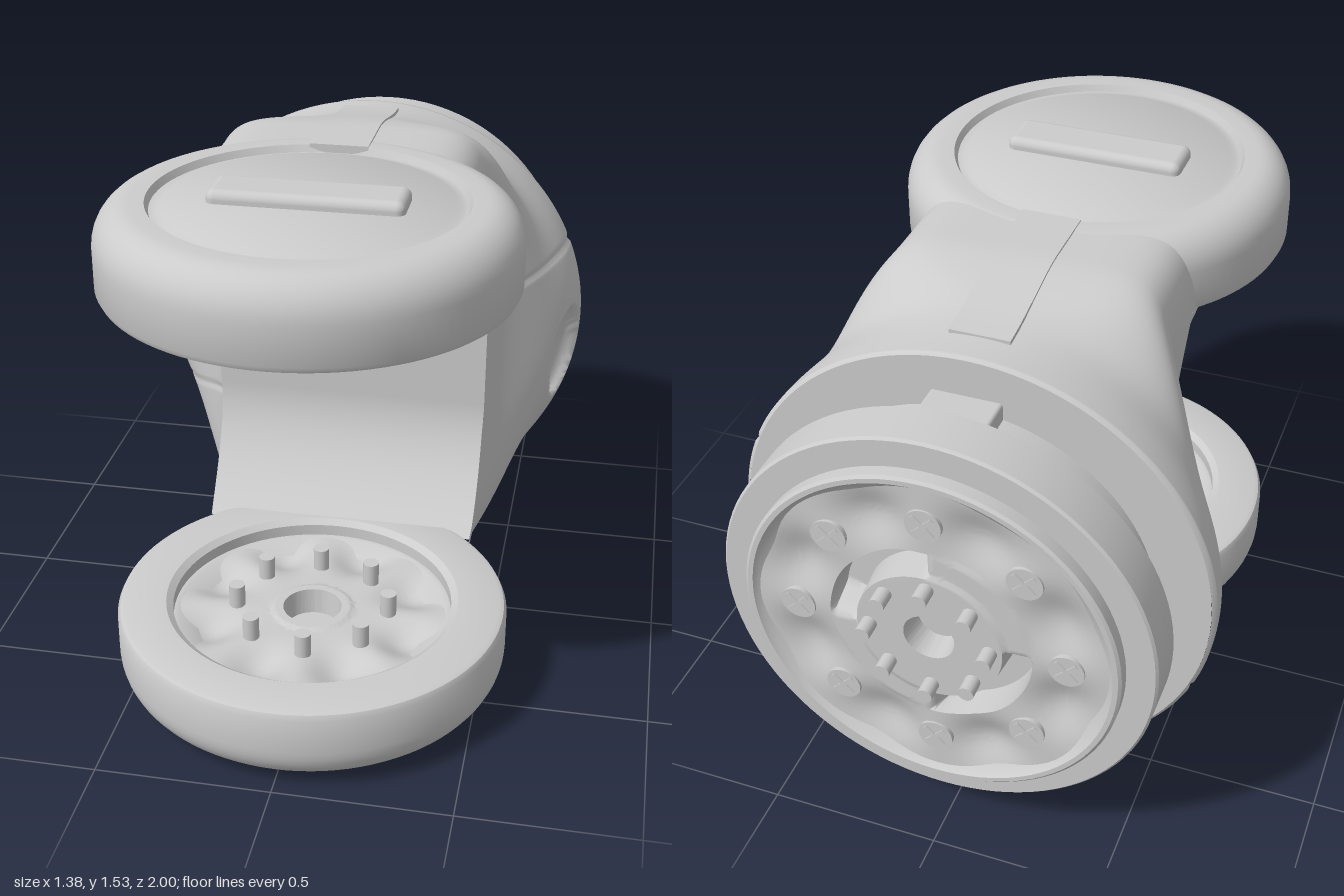
import * as THREE from 'three';
import { toCreasedNormals } from 'three/addons/utils/BufferGeometryUtils.js';
import { RoundedBoxGeometry } from 'three/addons/geometries/RoundedBoxGeometry.js';

const MID = 0.772; // height of the main axis
const PAD_Z = 0.428; // depth of the pad centres
const grey = new THREE.MeshStandardMaterial({ color: 0xcccccc });
const thin = new THREE.MeshStandardMaterial({ color: 0xcccccc, side: THREE.DoubleSide });

function add(parent, name, geometry, x = 0, y = 0, z = 0, material = grey) {
  const mesh = new THREE.Mesh(geometry, material);
  mesh.name = name;
  mesh.position.set(x, y, z);
  parent.add(mesh);
  return mesh;
}

const lathe = (points) => toCreasedNormals(
  new THREE.LatheGeometry(points.map(([r, y]) => new THREE.Vector2(r, y)), 96), 0.6);

// Indexed grid surface from a function (i, j) -> [x, y, z]
function grid(nu, nv, point) {
  const pos = [], index = [];
  for (let j = 0; j <= nv; j++) for (let i = 0; i <= nu; i++) pos.push(...point(i, j));
  for (let j = 0; j < nv; j++) for (let i = 0; i < nu; i++) {
    const a = j * (nu + 1) + i, b = a + nu + 1;
    index.push(a, a + 1, b, a + 1, b + 1, b);
  }
  const g = new THREE.BufferGeometry();
  g.setAttribute('position', new THREE.Float32BufferAttribute(pos, 3));
  g.setIndex(index);
  g.computeVertexNormals();
  return g;
}

// Yoke cross-section: a circle at the back turning into a tall rounded box in front
const blend = (z) => {
  const u = THREE.MathUtils.clamp((z + 0.63) / 0.45, 0, 1);
  return THREE.MathUtils.smoothstep(Math.pow(u, 1.3), 0, 1);
};
const halfWidth = (z) => 0.692 - 0.269 * blend(z);
const halfHeight = (z) => 0.685 + 0.055 * blend(z);
function section(a, z) {
  const n = 2 + 5 * blend(z) ** 2.5;
  const c = Math.cos(a), d = Math.sin(a);
  const r = (Math.abs(c / halfWidth(z)) ** n + Math.abs(d / halfHeight(z)) ** n) ** (-1 / n);
  return [r * c, r * d];
}
// Depth of the concave front, by distance from the axis
const frontZ = (y) => Math.min(0.02, -0.2 + 0.2 * (Math.max(0, Math.abs(y) - 0.15) / 0.36) ** 2);
// The arms run on into the pads and end on a circle inside the pad shell
const armEnd = (x, y) => Math.abs(y) > 0.505 ? PAD_Z - Math.sqrt(0.46 ** 2 - x * x) : frontZ(y);

function yokeSkin(i, j) {
  const a = (i / 384) * Math.PI * 2;
  const zf = armEnd(...section(a, 0));
  // rows 1-51 cover the flare, the rest the arms
  let z = -0.63 + 0.43 * Math.min(1, (j - 1) / 50);
  if (j === 0) z = -0.64;
  if (j > 51) z = -0.2 + (zf + 0.2) * (j - 51) / 13;
  let [x, y] = section(a, z);
  if (j === 0) { x *= 0.983; y *= 0.983; }
  // oval scoop on one side
  const q = ((z + 0.51) / 0.073) ** 2 + ((y + 0.087) / 0.155) ** 2;
  if (x > 0 && q < 1) x -= 0.065 * Math.sqrt(1 - q);
  // seam groove on both sides
  const seam = Math.sign(x) * (0.18 + 0.4 * (Math.abs(x) - 0.42));
  if (Math.abs(x) > 0.35) x -= Math.sign(x) * 0.008 * Math.exp(-(((y - seam) / 0.009) ** 2));
  return [x, y, z];
}

// Puckered disc facing +z: centre hole, hub, optional crescent slots, folds between screws
function puckeredFace(radius, hole, hub, foldR, depth, slots, phase) {
  const g = new THREE.RingGeometry(0.001, radius, 128, 56);
  const p = g.attributes.position;
  for (let k = 0; k < p.count; k++) {
    const x = p.getX(k), y = p.getY(k), r = Math.hypot(x, y), a = Math.atan2(y, x);
    let z = -depth * 0.5 * (1 - Math.cos(8 * (a - phase))) * Math.exp(-(((r - foldR) / 0.08) ** 2));
    if (r < hole) z = -0.07;
    else if (slots && r > hub && r < hub + 0.075) {
      z = -0.09 * THREE.MathUtils.smoothstep(Math.cos(2 * (a + Math.PI / 4)), -0.1, 0.3);
    } else if (r < hub) z += 0.008;
    p.setZ(k, z);
  }
  return toCreasedNormals(g, 0.9);
}

// Round pad at the end of an arm, inner side at y = 0, outer side up
function makePad(name, phase) {
  const pad = new THREE.Group();
  pad.name = name;
  const profile = [[0.34, 0.08], [0.395, 0.05], [0.41, 0.05], [0.41, 0.015], [0.43, 0],
    [0.55, 0], [0.564, 0.006], [0.572, 0.022], [0.572, 0.13]];
  for (let i = 1; i <= 8; i++) {
    const a = (i / 8) * Math.PI / 2;
    profile.push([0.472 + 0.1 * Math.cos(a), 0.13 + 0.112 * Math.sin(a)]);
  }
  profile.push([0.43, 0.242], [0.42, 0.222], [0.4, 0.222], [0.385, 0.232], [0, 0.232]);
  add(pad, 'padShell', lathe(profile));
  const face = puckeredFace(0.4, 0.08, 0.12, 0.31, 0.04, false, phase).rotateX(Math.PI / 2);
  add(pad, 'padInnerFace', face, 0, 0.05, 0, thin);
  add(pad, 'padBar', new RoundedBoxGeometry(0.53, 0.07, 0.15, 4, 0.025), 0, 0.232, 0);
  for (let i = 0; i < 8; i++) {
    const a = phase + i * Math.PI / 4;
    add(pad, 'padPin', new THREE.CylinderGeometry(0.024, 0.024, 0.1, 16),
      0.225 * Math.cos(a), 0.032, 0.225 * Math.sin(a));
  }
  return pad;
}

export function createModel() {
  const model = new THREE.Group();
  model.name = 'jointBracket';

  // Yoke: flared skin, concave front and flat back
  add(model, 'yokeSkin', grid(384, 64, yokeSkin), 0, MID);
  add(model, 'yokeFront', grid(1, 96, (i, j) => {
    const y = -0.52 + (j / 96) * 1.04, z = frontZ(y);
    const x = halfWidth(z) * (1 - Math.abs(y / 0.74) ** 7) ** (1 / 7);
    return [i ? x : -x, y, z];
  }), 0, MID, 0, thin);
  add(model, 'yokeBack', new THREE.CircleGeometry(0.68, 96).rotateY(Math.PI), 0, MID, -0.64);

  // Raised strap along the top of the yoke
  const strap = new THREE.Shape();
  for (let i = 0; i <= 16; i++) {
    const z = -0.54 + (i / 16) * 0.55;
    strap[i ? 'lineTo' : 'moveTo'](z, halfHeight(z) + 0.006);
  }
  strap.lineTo(0.01, 0.66);
  strap.lineTo(-0.54, 0.64);
  const strapGeo = new THREE.ExtrudeGeometry(strap, { depth: 0.17, bevelEnabled: false });
  strapGeo.translate(0, 0, -0.085).rotateY(-Math.PI / 2);
  add(model, 'topStrap', toCreasedNormals(strapGeo, 0.6), 0, MID);

  // Upper and lower pads
  const upper = makePad('upperPad', Math.PI / 8 - 0.05);
  upper.position.set(0, MID + 0.5, PAD_Z);
  const lower = makePad('lowerPad', 0.08);
  lower.position.set(0, MID - 0.5, PAD_Z);
  lower.rotation.z = Math.PI;
  model.add(upper, lower);

  // Rear neck, flange and raised rim
  const rear = lathe([[0.53, 0.6], [0.53, 0.768], [0.608, 0.768], [0.615, 0.775], [0.615, 0.905],
    [0.608, 0.912], [0.53, 0.912], [0.53, 0.948], [0.522, 0.955], [0.508, 0.955], [0.498, 0.942], [0.47, 0.925]]);
  add(model, 'rearFlange', rear.rotateX(-Math.PI / 2), 0, MID);
  add(model, 'neckTab', new RoundedBoxGeometry(0.2, 0.1, 0.13, 3, 0.01), 0, MID + 0.52, -0.695);

  // Rear face with screws around it and pins on the hub
  const face = puckeredFace(0.5, 0.07, 0.21, 0.39, 0.035, true, 0).rotateY(Math.PI);
  add(model, 'rearFace', face, 0, MID, -0.94, thin);
  for (let i = 0; i < 8; i++) {
    const a = i * Math.PI / 4;
    const screw = new THREE.Group();
    screw.name = 'rearScrew';
    screw.position.set(0.38 * Math.cos(a), MID + 0.38 * Math.sin(a), -0.935);
    add(screw, 'screwHead', new THREE.CylinderGeometry(0.05, 0.05, 0.02, 24).rotateX(Math.PI / 2));
    for (const turn of [1, -1]) {
      add(screw, 'screwCross', new THREE.BoxGeometry(0.08, 0.012, 0.006), 0, 0, -0.011)
        .rotation.z = turn * Math.PI / 4;
    }
    model.add(screw);
    add(model, 'hubPin', new THREE.CylinderGeometry(0.022, 0.022, 0.08, 16).rotateX(Math.PI / 2),
      0.17 * Math.cos(a), MID + 0.17 * Math.sin(a), -0.96);
  }
  return model;
}
